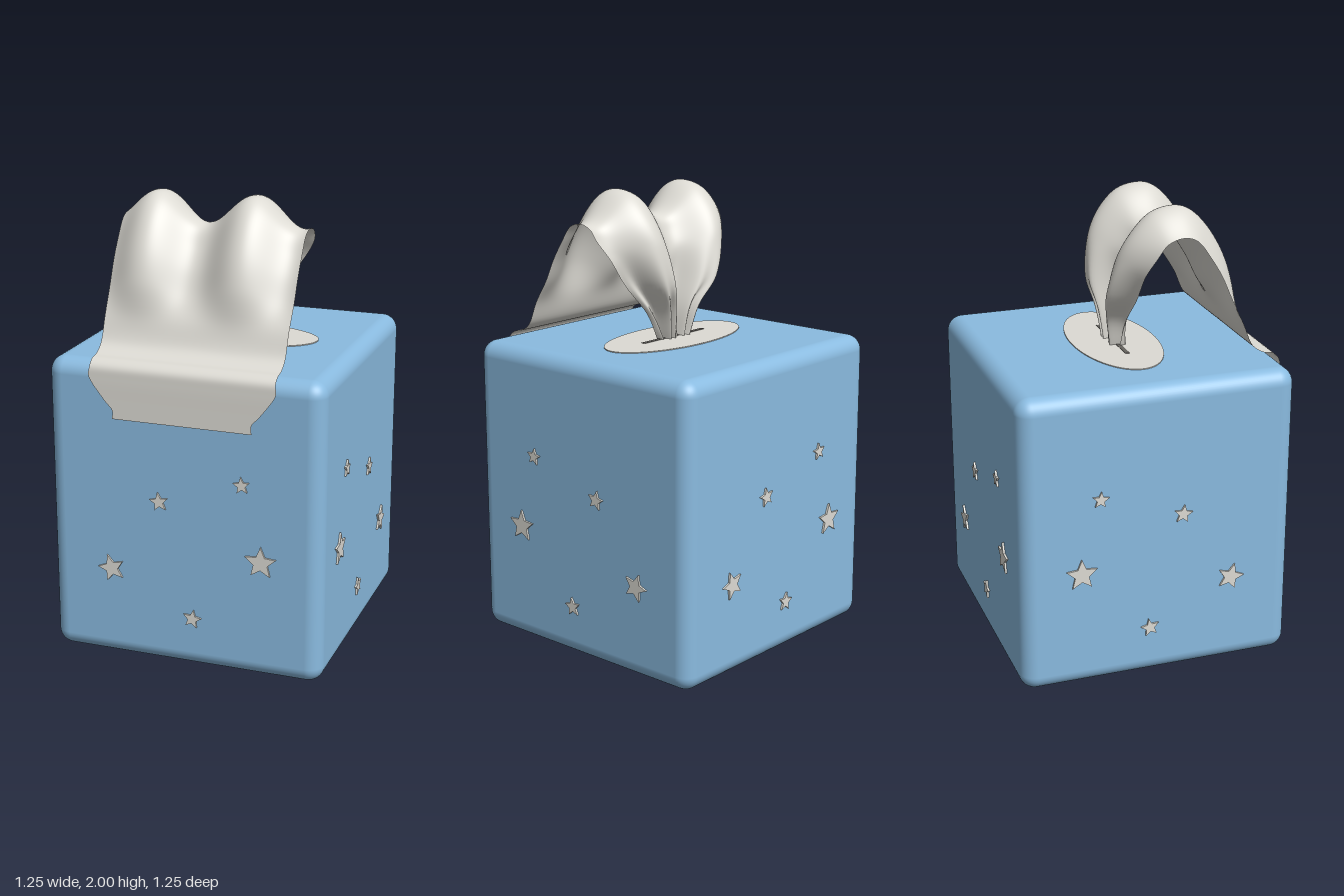
import * as THREE from 'three';
import { RoundedBoxGeometry } from 'three/addons/geometries/RoundedBoxGeometry.js';

const blue = new THREE.MeshStandardMaterial({ name: 'boxBlue', color: 0x8abbe0 });
const paper = new THREE.MeshStandardMaterial({ name: 'paperWhite', color: 0xdddbd4 });
const tissuePaper = paper.clone();
tissuePaper.side = THREE.DoubleSide;
const dark = new THREE.MeshStandardMaterial({ name: 'slotGrey', color: 0x66635e });

const W = 1.23, H = 1.34;

function add(parent, name, geometry, material, x = 0, y = 0, z = 0) {
  const mesh = new THREE.Mesh(geometry, material);
  mesh.name = name;
  mesh.position.set(x, y, z);
  parent.add(mesh);
  return mesh;
}

// Five-pointed star plate
function starGeometry(r, tilt) {
  const points = [];
  for (let i = 0; i < 10; i++) {
    const a = Math.PI / 2 + tilt + i * Math.PI / 5, d = i % 2 ? r * 0.45 : r;
    points.push(new THREE.Vector2(d * Math.cos(a), d * Math.sin(a)));
  }
  return new THREE.ExtrudeGeometry(new THREE.Shape(points), { depth: 0.009, bevelEnabled: false });
}

// x, y, radius, tilt
const STARS = [
  [-0.105, 0.75, 0.043, 0.15], [0.265, 0.87, 0.038, 0.1], [0.35, 0.535, 0.072, 0],
  [-0.33, 0.415, 0.063, 0.3], [0.042, 0.23, 0.043, -0.15],
];

// Sheet profile from slot to hanging flap: crest z, y, valley z, y, half width
const PROFILE = [
  [-0.01, 1.34, 0.01, 1.34, 0.09], [-0.05, 1.48, 0.03, 1.46, 0.14],
  [-0.09, 1.60, 0.05, 1.60, 0.26], [-0.07, 1.75, 0.05, 1.72, 0.35],
  [-0.02, 1.87, 0.08, 1.80, 0.40], [0.07, 1.97, 0.11, 1.85, 0.41],
  [0.17, 2.00, 0.17, 1.87, 0.41], [0.25, 1.98, 0.23, 1.85, 0.41],
  [0.33, 1.90, 0.28, 1.78, 0.41], [0.40, 1.78, 0.33, 1.70, 0.41],
  [0.44, 1.65, 0.38, 1.60, 0.41], [0.455, 1.50, 0.445, 1.50, 0.41],
  [0.49, 1.40, 0.49, 1.40, 0.41], [0.54, 1.36, 0.54, 1.36, 0.41],
  [0.59, 1.348, 0.59, 1.348, 0.41], [0.62, 1.32, 0.62, 1.32, 0.41],
  [0.625, 1.27, 0.625, 1.27, 0.41], [0.625, 1.18, 0.625, 1.18, 0.345],
  [0.625, 1.14, 0.625, 1.14, 0.31], [0.625, 1.10, 0.625, 1.10, 0.31],
];

function tissueGeometry() {
  const crest = new THREE.CatmullRomCurve3(PROFILE.map(p => new THREE.Vector3(p[4], p[1], p[0])));
  const valley = new THREE.CatmullRomCurve3(PROFILE.map(p => new THREE.Vector3(p[4], p[3], p[2])));
  for (const c of [crest, valley]) c.curveType = 'catmullrom';
  const cols = 72, rows = 114;
  const geometry = new THREE.PlaneGeometry(2, 1, cols, rows);
  const pos = geometry.attributes.position;
  for (let j = 0, k = 0; j <= rows; j++) {
    const t = j / rows, a = crest.getPoint(t), b = valley.getPoint(t);
    const gather = Math.max(0, 1 - t / 0.17);
    for (let i = 0; i <= cols; i++, k++) {
      const u = (i / cols) * 2 - 1;
      // two broad folds across the sheet, small pleats where it is gathered
      const wave = 0.5 + 0.5 * Math.cos(2 * Math.PI * (0.41 * u - 0.17) / 0.43);
      const pleat = 0.03 * gather * Math.sin(19 * u);
      pos.setXYZ(k, a.x * u, b.y + (a.y - b.y) * wave, b.z + (a.z - b.z) * wave + pleat);
    }
  }
  geometry.computeVertexNormals();
  return geometry;
}

export function createModel() {
  const model = new THREE.Group();
  model.name = 'tissueBox';

  add(model, 'box', new RoundedBoxGeometry(W, H, W, 6, 0.07), blue, 0, H / 2, 0);

  // Oval opening panel with its slit
  const oval = add(model, 'ovalPanel', new THREE.CylinderGeometry(1, 1, 0.006, 64), paper, 0, H + 0.001, 0);
  oval.scale.set(0.4, 1, 0.19);
  add(model, 'slit', new THREE.BoxGeometry(0.4, 0.004, 0.02), dark, 0, H + 0.004, 0);

  add(model, 'tissue', tissueGeometry(), tissuePaper);

  // Stars on the four sides, mirrored on alternate faces
  for (let k = 0; k < 4; k++) {
    const face = new THREE.Group();
    face.name = 'starFace' + (k + 1);
    face.rotation.y = k * Math.PI / 2;
    const s = k % 2 ? -1 : 1;
    for (const [x, y, r, tilt] of STARS) {
      add(face, 'star', starGeometry(r, s * tilt), paper, s * x, y, W / 2);
    }
    model.add(face);
  }
  return model;
}
